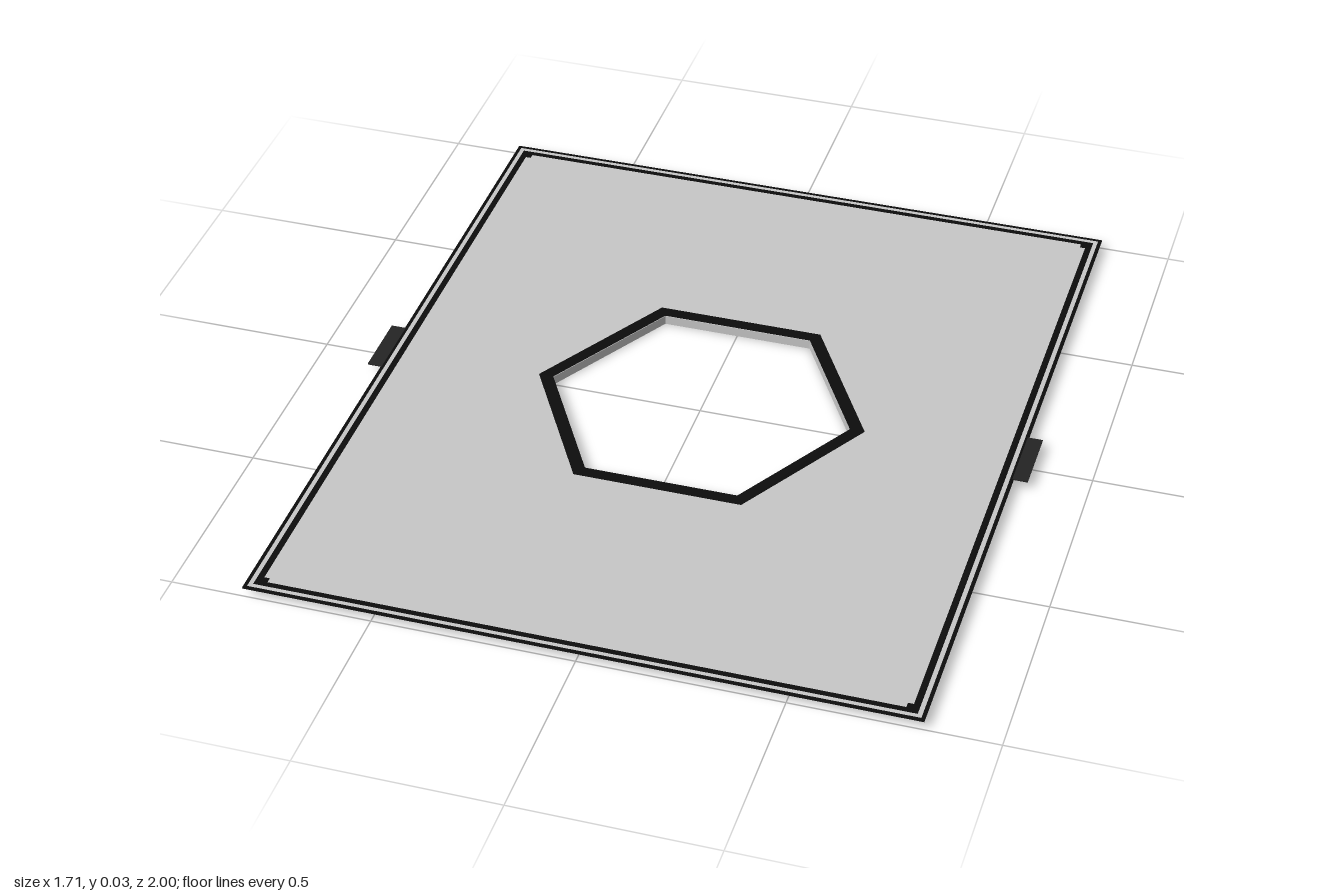
import * as THREE from 'three';

const TOP = 0.024;   // height of the sheet
const HOLE = 0.387;  // corner radius of the hexagonal opening

const rect = (w, d) => [[-w, -d], [w, -d], [w, d], [-w, d]].map(([x, y]) => new THREE.Vector2(x, y));
const hexagon = (r) => Array.from({ length: 6 }, (_, i) =>
  new THREE.Vector2(r * Math.cos(i * Math.PI / 3), r * Math.sin(i * Math.PI / 3)));

// Flat horizontal frame: an outline with a hole in it
function frame(outer, inner) {
  const shape = new THREE.Shape(outer);
  shape.holes.push(new THREE.Path([...inner].reverse()));
  return new THREE.ShapeGeometry(shape).rotateX(-Math.PI / 2);
}

export function createModel() {
  const group = new THREE.Group();
  const grey = new THREE.MeshStandardMaterial({ color: 0xc8c8c8, side: THREE.DoubleSide, flatShading: true });
  grey.name = 'light grey';
  const black = new THREE.MeshStandardMaterial({ color: 0x0c0c0c, side: THREE.DoubleSide });
  black.name = 'black';
  const charcoal = new THREE.MeshStandardMaterial({ color: 0x242424 });
  charcoal.name = 'charcoal';

  const add = (name, geometry, material, x = 0, y = 0, z = 0) => {
    const mesh = new THREE.Mesh(geometry, material);
    mesh.name = name;
    mesh.position.set(x, y, z);
    group.add(mesh);
  };

  // Sheet with the hexagonal opening
  add('sheet', frame(rect(0.818, 0.998), hexagon(HOLE)), grey, 0, TOP);

  // Wall hanging down around the opening
  add('openingWall', new THREE.CylinderGeometry(HOLE, HOLE, TOP, 6, 1, true, Math.PI / 2), grey, 0, TOP / 2);

  // Black outlines on both faces of the sheet
  for (const [side, dy] of [['upper', 0.0015], ['lower', -0.0015]]) {
    add(side + 'OpeningRim', frame(hexagon(0.425), hexagon(HOLE)), black, 0, TOP + dy);
    add(side + 'EdgeLine', frame(rect(0.82, 1), rect(0.811, 0.991)), black, 0, TOP + dy);
    add(side + 'BorderLine', frame(rect(0.8, 0.98), rect(0.784, 0.965)), black, 0, TOP + dy);
    // Small corner marks inside the border
    for (const x of [-1, 1]) for (const z of [-1, 1]) {
      add(side + 'CornerMark', new THREE.PlaneGeometry(0.02, 0.02).rotateX(-Math.PI / 2), black,
        x * 0.78, TOP + dy, z * 0.96);
    }
  }

  // Side tabs
  for (const s of [-1, 1]) {
    add(s > 0 ? 'leftTab' : 'rightTab', new THREE.BoxGeometry(0.038, 0.003, 0.174), charcoal, s * 0.836, TOP + 0.002, -0.003);
  }
  return group;
}
